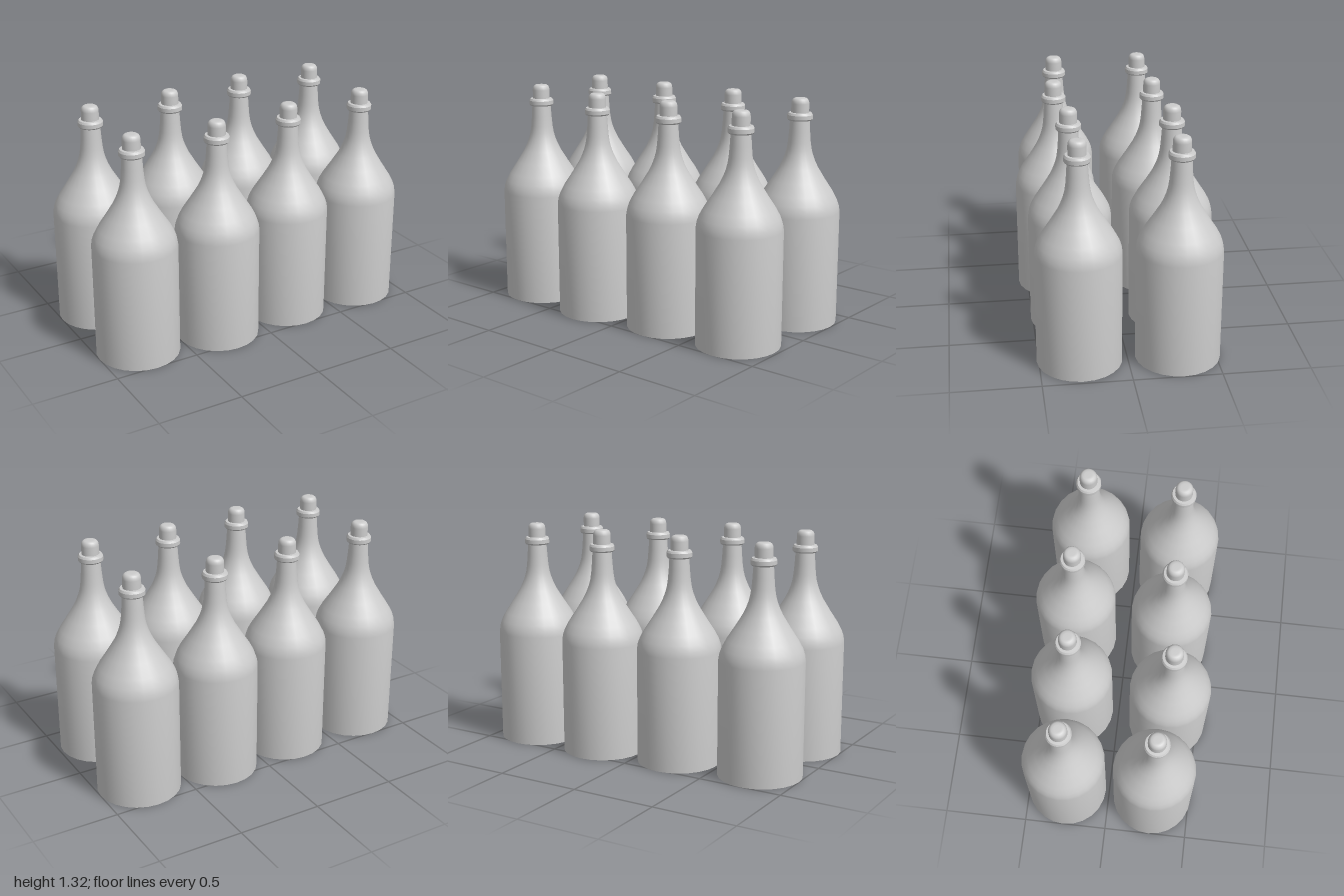
import * as THREE from 'three';
import { toCreasedNormals } from 'three/addons/utils/BufferGeometryUtils.js';

const SIDES = 24;
const lathe = (points) => new THREE.LatheGeometry(points.map(([r, y]) => new THREE.Vector2(r, y)), SIDES);

export function createModel() {
  const group = new THREE.Group();
  const material = new THREE.MeshStandardMaterial({ color: 0xcccccc });

  // Straight body, curved shoulder and tapering neck
  const bodyGeometry = toCreasedNormals(lathe([
    [0, 0], [0.242, 0], [0.242, 0.667], [0.237, 0.7], [0.225, 0.735], [0.201, 0.78],
    [0.155, 0.85], [0.112, 0.92], [0.094, 0.958], [0.08, 0.995], [0.071, 1.03],
    [0.065, 1.07], [0.06, 1.13], [0.055, 1.21],
  ]), 0.7);

  // Bevelled ring below the mouth
  const ringGeometry = toCreasedNormals(lathe([
    [0.052, 1.195], [0.066, 1.195], [0.073, 1.203], [0.073, 1.226],
    [0.066, 1.238], [0.046, 1.24],
  ]), 0.5);

  // Stopper with a rounded top edge
  const stopperGeometry = lathe([
    [0.051, 1.22], [0.051, 1.29], [0.049, 1.304], [0.043, 1.315], [0.034, 1.321], [0.02, 1.322], [0, 1.322],
  ]);

  const parts = [['body', bodyGeometry], ['neckRing', ringGeometry], ['stopper', stopperGeometry]];

  // Two loosely spaced rows of four: x, z
  const places = [
    [-0.758, -0.264], [-0.237, -0.28], [0.262, -0.318], [0.756, -0.286],
    [-0.758, 0.27], [-0.257, 0.313], [0.241, 0.27], [0.741, 0.27],
  ];
  places.forEach(([x, z], i) => {
    const bottle = new THREE.Group();
    bottle.name = `bottle${i + 1}`;
    bottle.position.set(x, 0, z);
    for (const [name, geometry] of parts) {
      const mesh = new THREE.Mesh(geometry, material);
      mesh.name = name;
      bottle.add(mesh);
    }
    group.add(bottle);
  });
  return group;
}
